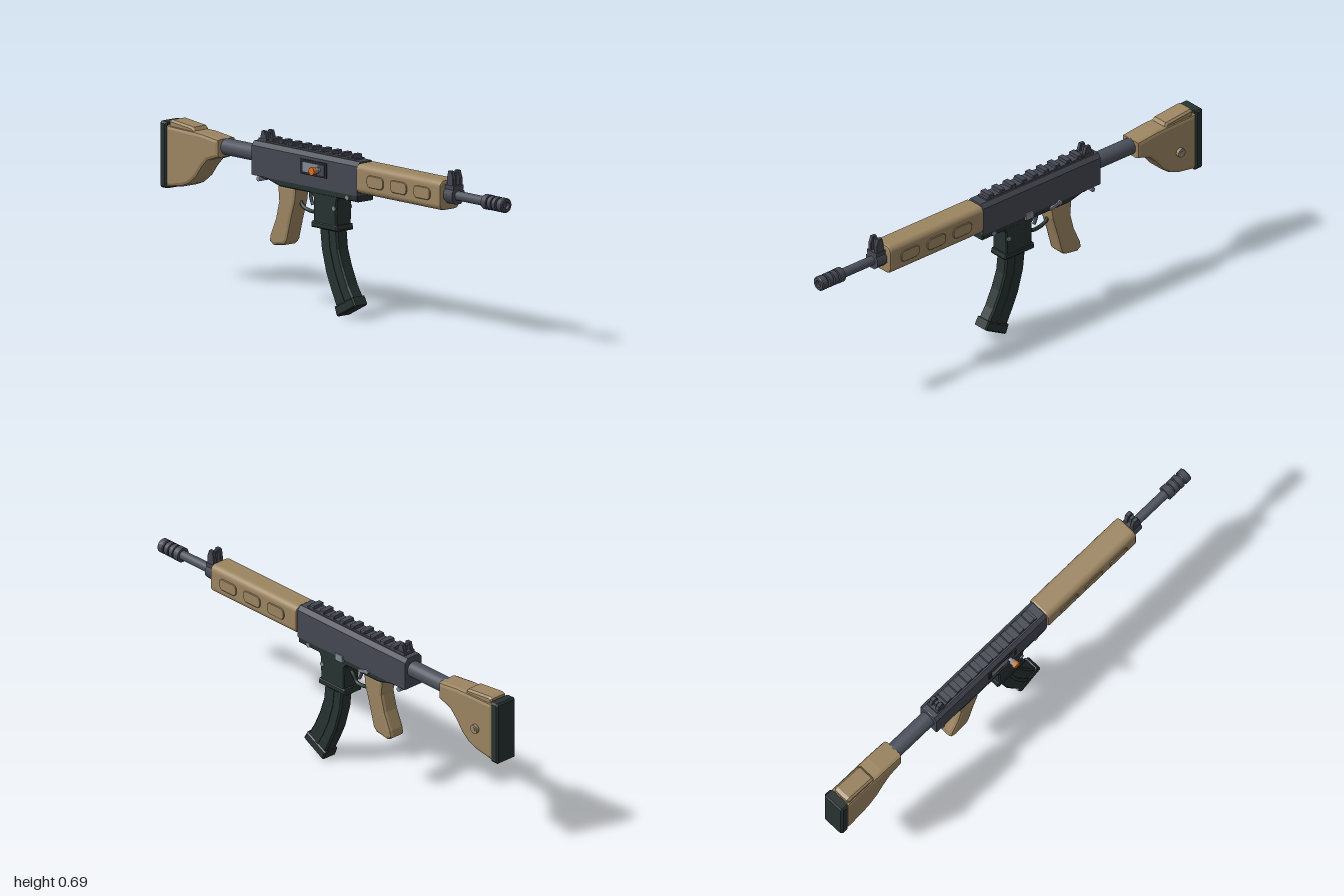
import * as THREE from 'three';

const mat = (name, color) => Object.assign(new THREE.MeshStandardMaterial({ color }), { name });

export function createModel() {
  const root = new THREE.Group();
  root.name = 'rifle';
  const gun = new THREE.Group();
  gun.name = 'rifleBody';
  gun.position.z = -0.015; // the charging handle sticks out, so the axis sits off centre
  root.add(gun);

  const tan = mat('tan polymer', 0x9c8561);
  const gunmetal = mat('gunmetal', 0x444752);
  const barrelSteel = mat('barrel steel', 0x4b505b);
  const green = mat('dark green polymer', 0x263230);
  const steel = mat('bright steel', 0x82898f);
  const orange = mat('orange', 0xd9701f);
  const black = mat('bore black', 0x202228);

  const add = (name, geo, material, x = 0, y = 0, z = 0) => {
    const m = new THREE.Mesh(geo, material);
    m.name = name;
    m.position.set(x, y, z);
    gun.add(m);
    return m;
  };
  const box = (name, material, x0, x1, y0, y1, z0, z1) =>
    add(name, new THREE.BoxGeometry(x1 - x0, y1 - y0, z1 - z0), material,
      (x0 + x1) / 2, (y0 + y1) / 2, (z0 + z1) / 2);
  const polygon = pts => new THREE.Shape(pts.map(p => new THREE.Vector2(...p)));
  // Side outline extruded across the width, bevelled inside its own outline
  const slab = (name, material, shape, half, bevel, z = 0, segments = 1) => {
    const g = new THREE.ExtrudeGeometry(shape, {
      depth: 2 * (half - bevel), bevelEnabled: bevel > 0, bevelSize: bevel,
      bevelThickness: bevel, bevelOffset: -bevel, bevelSegments: segments, curveSegments: 8,
    });
    g.translate(0, 0, -(half - bevel));
    return add(name, g, material, 0, 0, z);
  };
  // Rod along x
  const rod = (name, material, x0, x1, y, r, sides = 20) =>
    add(name, new THREE.CylinderGeometry(r, r, x1 - x0, sides).rotateZ(Math.PI / 2).rotateX(Math.PI / sides),
      material, (x0 + x1) / 2, y, 0);
  // Pin along z
  const pin = (name, material, x, y, z0, z1, r, sides = 12) =>
    add(name, new THREE.CylinderGeometry(r, r, z1 - z0, sides).rotateX(Math.PI / 2), material, x, y, (z0 + z1) / 2);
  const roundRect = (w, h, r) => {
    const s = new THREE.Shape();
    s.absarc(w / 2 - r, h / 2 - r, r, 0, Math.PI / 2);
    s.absarc(-w / 2 + r, h / 2 - r, r, Math.PI / 2, Math.PI);
    s.absarc(-w / 2 + r, -h / 2 + r, r, Math.PI, Math.PI * 1.5);
    s.absarc(w / 2 - r, -h / 2 + r, r, Math.PI * 1.5, Math.PI * 2);
    return s;
  };
  // Cross-section extruded along x
  const beam = (name, material, shape, x0, x1, y, bevel) => {
    const g = new THREE.ExtrudeGeometry(shape, {
      depth: x1 - x0 - 2 * bevel, bevelSize: bevel, bevelThickness: bevel, bevelOffset: -bevel,
      bevelSegments: 2, curveSegments: 5,
    });
    g.translate(0, 0, bevel).rotateY(Math.PI / 2);
    return add(name, g, material, x0, y, 0);
  };

  // Stock
  slab('stock', tan, polygon([[-0.965, 0.385], [-0.87, 0.4], [-0.83, 0.415], [-0.79, 0.445], [-0.755, 0.49],
    [-0.72, 0.525], [-0.655, 0.547], [-0.655, 0.62], [-0.76, 0.632], [-0.965, 0.637]]), 0.05, 0.015, 0, 2);
  slab('cheekRest', tan, polygon([[-0.955, 0.625], [-0.8, 0.625], [-0.815, 0.647], [-0.94, 0.66], [-0.955, 0.655]]), 0.041, 0.008);
  slab('buttPad', green, polygon([[-1, 0.385], [-0.993, 0.38], [-0.96, 0.38], [-0.96, 0.648], [-0.993, 0.65], [-1, 0.642]]), 0.051, 0.008);
  pin('stockButton', tan, -0.875, 0.497, -0.063, -0.045, 0.019, 16);
  pin('stockButtonScrew', steel, -0.875, 0.497, -0.0645, -0.06, 0.009);
  rod('bufferTube', barrelSteel, -0.67, -0.45, 0.587, 0.034, 24);

  // Receiver, with chamfered top edges
  beam('receiver', gunmetal, polygon([[-0.046, -0.07], [0.046, -0.07], [0.046, 0.05], [0.032, 0.068], [-0.032, 0.068], [-0.046, 0.05]]),
    -0.46, 0.166, 0.577, 0.003);
  slab('lowerReceiver', green, polygon([[-0.4, 0.515], [-0.38, 0.503], [-0.3, 0.482], [0.165, 0.482], [0.165, 0.515]]), 0.043, 0.004);
  slab('receiverHeel', gunmetal, polygon([[-0.46, 0.525], [-0.46, 0.51], [-0.38, 0.497], [-0.34, 0.512], [-0.34, 0.525]]), 0.04, 0.003);
  for (const [x, y] of [[-0.42, 0.495], [0.105, 0.492], [0.025, 0.437]])
    pin('pin', steel, x, y, -0.046, 0.046, 0.01);

  // Ejection port on the front side
  slab('portFrame', black, polygon([[-0.166, 0.554], [-0.012, 0.554], [-0.012, 0.615], [-0.166, 0.615]]), 0.003, 0, 0.047);
  box('boltCarrier', steel, -0.15, -0.03, 0.565, 0.604, 0.046, 0.052);
  box('boltSlot', gunmetal, -0.06, -0.022, 0.562, 0.606, 0.046, 0.0525);

  // Charging handle
  pin('handleShaft', steel, -0.052, 0.584, 0.04, 0.067, 0.009);
  pin('handleKnob', steel, -0.052, 0.584, 0.065, 0.081, 0.014, 8);
  pin('handleTip', orange, -0.052, 0.584, 0.081, 0.095, 0.017, 8);

  // Controls on the back side
  box('magazineCatch', steel, -0.1, -0.06, 0.492, 0.522, -0.052, -0.042);
  const lever = box('selectorLever', steel, -0.25, -0.19, 0.495, 0.508, -0.052, -0.042);
  lever.rotation.z = -0.25;
  pin('selectorPivot', steel, -0.24, 0.507, -0.053, -0.042, 0.011);

  // Top rail
  box('railBase', gunmetal, -0.41, 0.13, 0.642, 0.652, -0.026, 0.026);
  for (let i = 0; i < 9; i++) {
    const x = -0.367 + i * 0.0588;
    slab('railTooth', gunmetal, polygon([[x - 0.014, 0.65], [x + 0.014, 0.65], [x + 0.012, 0.665], [x - 0.012, 0.665]]), 0.028, 0.003);
  }

  // Sights: two ears either side of a post
  const sight = (name, x, y0, y1, postTop) => {
    for (const s of [-1, 1])
      slab(name + 'Ear', gunmetal, polygon([[x - 0.02, y0], [x + 0.02, y0], [x + 0.02, y1 - 0.028], [x + 0.01, y1],
        [x - 0.01, y1], [x - 0.016, y1 - 0.02]]), 0.0085, 0.002, s * 0.0175);
    box(name + 'Post', gunmetal, x - 0.009, x + 0.009, y0, postTop, -0.006, 0.006);
    box(name + 'Base', gunmetal, x - 0.024, x + 0.024, y0 - 0.005, y0 + 0.012, -0.028, 0.028);
  };
  sight('rearSight', -0.413, 0.645, 0.688, 0.68);
  sight('frontSight', 0.692, 0.612, 0.682, 0.675);
  rod('frontSightBlock', gunmetal, 0.66, 0.715, 0.582, 0.037, 8);

  // Handguard with raised pads on both sides
  beam('handguard', tan, roundRect(0.108, 0.122, 0.026), 0.166, 0.665, 0.58, 0.008);
  for (const s of [-1, 1]) for (const x of [0.283, 0.421, 0.56]) {
    const pad = slab('handguardPad', tan, roundRect(0.098, 0.05, 0.02), 0.004, 0.002, s * 0.0545);
    pad.position.x = x;
    pad.position.y = 0.58;
  }

  // Barrel and ringed muzzle
  rod('barrel', barrelSteel, 0.65, 0.985, 0.582, 0.0195);
  for (const [a, b, r] of [[0.88, 0.907, 0.031], [0.914, 0.934, 0.03], [0.941, 0.961, 0.03]])
    rod('muzzleRing', gunmetal, a, b, 0.582, r);
  const cap = new THREE.LatheGeometry([[0.015, 0], [0.027, 0], [0.03, 0.004], [0.03, 0.028], [0.026, 0.032], [0.015, 0.032], [0.015, 0.018], [0, 0.018]]
    .map(p => new THREE.Vector2(...p)), 20).rotateZ(-Math.PI / 2).toNonIndexed();
  cap.computeVertexNormals();
  add('muzzleCap', cap, gunmetal, 0.968, 0.582, 0);

  // Pistol grip
  slab('pistolGrip', tan, polygon([[-0.318, 0.49], [-0.205, 0.49], [-0.213, 0.43], [-0.238, 0.35], [-0.262, 0.262],
    [-0.28, 0.245], [-0.345, 0.235], [-0.368, 0.25], [-0.362, 0.28], [-0.33, 0.35], [-0.312, 0.42]]), 0.038, 0.014, 0, 2);

  // Trigger and its guard
  const tube = (name, material, pts, r) => add(name, new THREE.TubeGeometry(
    new THREE.CatmullRomCurve3(pts.map(p => new THREE.Vector3(p[0], p[1], 0))), 20, r, 8), material);
  tube('triggerGuard', green, [[-0.225, 0.435], [-0.205, 0.41], [-0.17, 0.398], [-0.13, 0.4], [-0.112, 0.425], [-0.098, 0.44]], 0.008);
  tube('trigger', gunmetal, [[-0.157, 0.49], [-0.158, 0.455], [-0.152, 0.435], [-0.144, 0.422]], 0.007);

  // Magazine well
  slab('magazineWell', green, polygon([[-0.12, 0.49], [-0.1, 0.465], [-0.098, 0.36], [0.036, 0.36], [0.038, 0.465], [0.05, 0.49]]), 0.042, 0.005);
  slab('magazineWellLip', green, polygon([[-0.11, 0.345], [0.044, 0.345], [0.047, 0.352], [0.042, 0.37], [-0.108, 0.37]]), 0.0455, 0.005);

  // Curved magazine, side ribs and floor plate
  const rear = [[-0.078, 0.36], [-0.067, 0.26], [-0.04, 0.165], [-0.008, 0.095], [0.025, 0.03]];
  const fore = [[0.025, 0.36], [0.035, 0.27], [0.06, 0.2], [0.093, 0.13], [0.125, 0.08]];
  const across = t => rear.map((p, i) => [p[0] + (fore[i][0] - p[0]) * t, p[1] + (fore[i][1] - p[1]) * t]);
  slab('magazine', green, polygon([...rear, ...fore.slice().reverse()]), 0.03, 0.007);
  for (const s of [-1, 1])
    slab('magazineRib', green, polygon([...across(0.42), ...across(0.56).reverse()]), 0.003, 0, s * 0.0295);
  slab('magazineFloor', green, polygon([[0.016, 0.037], [0.124, 0.091], [0.142, 0.058], [0.132, 0.05], [0.036, 0], [0.029, 0.003]]), 0.035, 0.005);

  return root;
}
